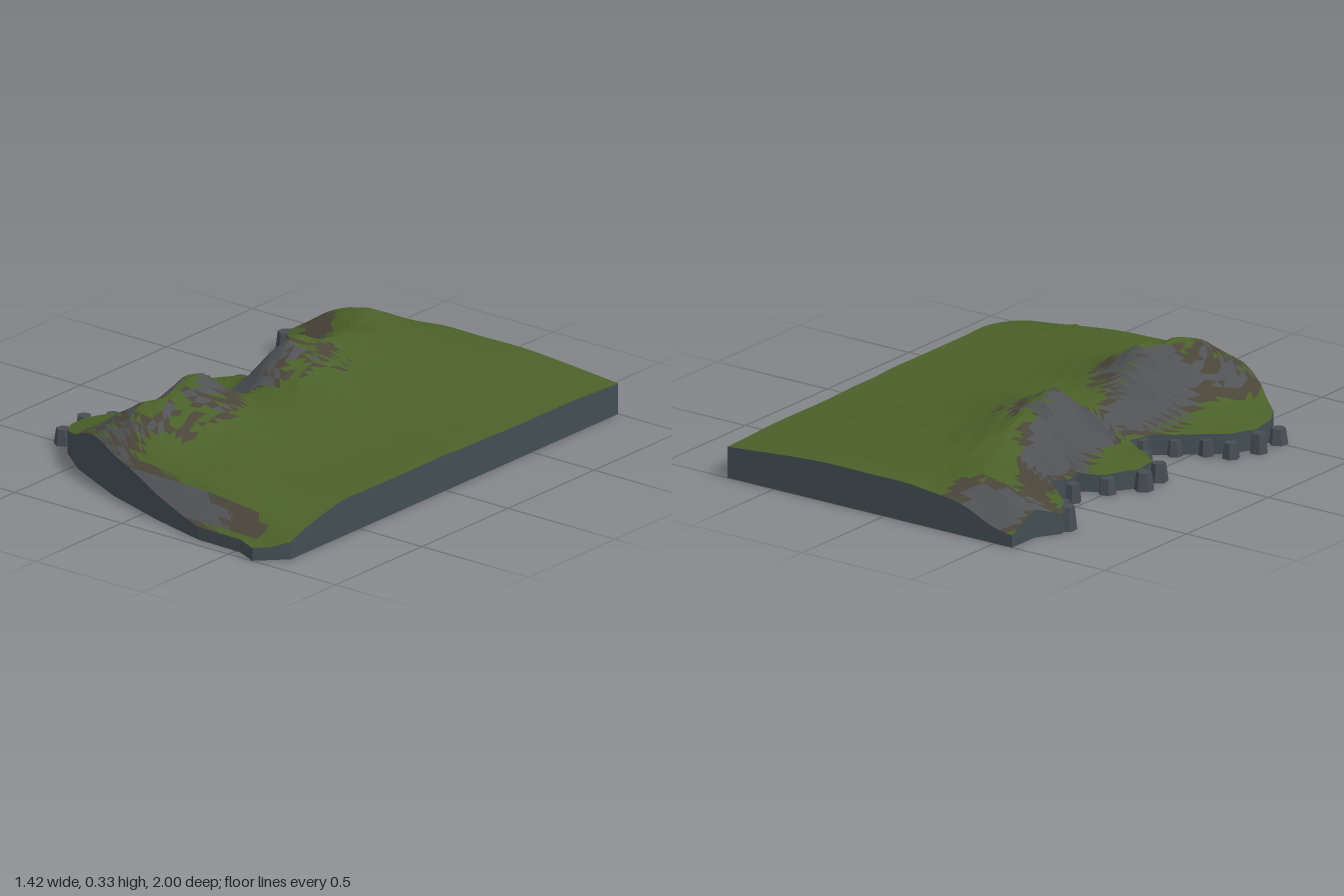
import * as THREE from 'three';

// Coastline as [z, x], from the back to the front tip
const COAST = [
  [-1, -0.58], [-0.86, -0.58], [-0.77, -0.635], [-0.72, -0.62], [-0.63, -0.52], [-0.56, -0.43], [-0.47, -0.42],
  [-0.36, -0.4], [-0.31, -0.49], [-0.2, -0.56], [-0.1, -0.55], [-0.02, -0.45], [0.03, -0.35], [0.12, -0.38],
  [0.2, -0.48], [0.3, -0.6], [0.4, -0.65], [0.5, -0.64], [0.57, -0.6], [0.67, -0.47], [0.8, -0.2],
  [0.89, 0.07], [0.955, 0.32], [0.96, 0.52], [1, 0.61],
];
const INLAND = [[-1, 0.71], [0.9, 0.71], [1, 0.61]];

// Coarse height map: one row per z, one column per x
const XS = [-0.65, -0.5, -0.38, -0.3, -0.2, -0.1, 0.05, 0.3, 0.71];
const ROWS = [
  [-1, [0.04, 0.06, 0.11, 0.13, 0.14, 0.15, 0.15, 0.15, 0.12]],
  [-0.85, [0.06, 0.16, 0.2, 0.205, 0.19, 0.18, 0.17, 0.155, 0.125]],
  [-0.72, [0.07, 0.13, 0.18, 0.2, 0.2, 0.19, 0.175, 0.155, 0.13]],
  [-0.55, [0.05, 0.07, 0.13, 0.2, 0.235, 0.215, 0.18, 0.16, 0.13]],
  [-0.4, [0.04, 0.05, 0.08, 0.18, 0.255, 0.235, 0.19, 0.16, 0.13]],
  [-0.23, [0.06, 0.08, 0.12, 0.22, 0.31, 0.27, 0.21, 0.16, 0.135]],
  [-0.1, [0.06, 0.08, 0.1, 0.16, 0.23, 0.23, 0.2, 0.16, 0.135]],
  [0, [0.05, 0.06, 0.07, 0.1, 0.17, 0.185, 0.185, 0.16, 0.14]],
  [0.12, [0.05, 0.06, 0.08, 0.13, 0.2, 0.2, 0.19, 0.16, 0.14]],
  [0.32, [0.07, 0.1, 0.15, 0.25, 0.335, 0.28, 0.21, 0.16, 0.14]],
  [0.45, [0.08, 0.12, 0.18, 0.235, 0.295, 0.26, 0.2, 0.16, 0.14]],
  [0.6, [0.08, 0.12, 0.2, 0.25, 0.285, 0.24, 0.18, 0.155, 0.14]],
  [0.8, [0.1, 0.12, 0.14, 0.15, 0.16, 0.165, 0.16, 0.15, 0.1]],
  [0.95, [0.05, 0.05, 0.05, 0.05, 0.05, 0.05, 0.05, 0.05, 0.05]],
];
const ZS = ROWS.map((r) => r[0]);

function linear(points, t) {
  for (let i = 1; i < points.length; i++) {
    const [a, va] = points[i - 1], [b, vb] = points[i];
    if (t <= b) return va + (vb - va) * (t - a) / (b - a);
  }
  return points[points.length - 1][1];
}

// Smooth curve through unevenly spaced knots
function smooth(knots, values, t) {
  const n = knots.length - 1;
  t = Math.min(Math.max(t, knots[0]), knots[n]);
  let i = 0;
  while (i < n - 1 && t > knots[i + 1]) i++;
  const slope = (k) => {
    const a = Math.max(k - 1, 0), b = Math.min(k + 1, n);
    return (values[b] - values[a]) / (knots[b] - knots[a]);
  };
  const w = knots[i + 1] - knots[i], u = (t - knots[i]) / w, u2 = u * u, u3 = u2 * u;
  return (2 * u3 - 3 * u2 + 1) * values[i] + (u3 - 2 * u2 + u) * w * slope(i)
    + (3 * u2 - 2 * u3) * values[i + 1] + (u3 - u2) * w * slope(i + 1);
}

function heightAt(x, z) {
  const h = smooth(ZS, ROWS.map((r) => smooth(XS, r[1], x)), z);
  // Small crags, strongest on the high ground
  const crag = Math.sin(x * 47 + z * 13) * Math.sin(z * 39 - x * 17);
  return Math.max(0.03, h + crag * 0.05 * Math.max(0, h - 0.16));
}

function mesh(name, triangles, color) {
  const geometry = new THREE.BufferGeometry().setFromPoints(triangles);
  geometry.computeVertexNormals();
  const m = new THREE.Mesh(geometry, new THREE.MeshStandardMaterial({ color, flatShading: true }));
  m.name = name;
  return m;
}

export function createModel() {
  const group = new THREE.Group();
  group.name = 'coastalTerrain';

  // Grid of surface points stretched between the coast and the inland edge
  const COLS = 44;
  const steps = Array.from({ length: 61 }, (_, i) => -1 + i / 30);
  const zs = [...steps, ...COAST.map((p) => p[0]), 0.9].sort((a, b) => a - b)
    .filter((z, i, all) => i === 0 || z - all[i - 1] > 1e-4);
  const grid = zs.map((z) => {
    const left = linear(COAST, z), right = linear(INLAND, z);
    return Array.from({ length: COLS + 1 }, (_, j) => {
      const x = left + (right - left) * j / COLS;
      return new THREE.Vector3(x, heightAt(x, z), z);
    });
  });

  // Surface faces sorted by steepness into grass, earth and bare rock
  const grass = [], earth = [], rock = [];
  const tri = new THREE.Triangle(), normal = new THREE.Vector3();
  for (let i = 0; i < grid.length - 1; i++) {
    for (let j = 0; j < COLS; j++) {
      const a = grid[i][j], b = grid[i][j + 1], c = grid[i + 1][j], d = grid[i + 1][j + 1];
      for (const face of [[a, c, b], [b, c, d]]) {
        tri.set(...face).getNormal(normal);
        (normal.y < 0.83 ? rock : normal.y < 0.895 ? earth : grass).push(...face);
      }
    }
  }
  group.add(mesh('grass', grass, 0x4a6029), mesh('earthSlopes', earth, 0x4a4539), mesh('rockSlopes', rock, 0x505256));

  // Side walls around the rim, dropping to the ground
  const ground = (p) => new THREE.Vector3(p.x, 0, p.z);
  const rim = [
    ...grid.map((row) => row[0]),
    ...grid.map((row) => row[COLS]).reverse(),
    ...grid[0].slice().reverse(),
  ];
  const walls = [];
  for (let i = 0; i < rim.length - 1; i++) {
    const p = rim[i], q = rim[i + 1];
    if (p.distanceTo(q) < 1e-6) continue;
    walls.push(p, ground(p), ground(q), p, ground(q), q);
  }
  group.add(mesh('cliffWalls', walls, 0x434e53));

  // Flat underside
  const base = [];
  for (let i = 0; i < grid.length - 1; i++) {
    const [a, b, c, d] = [grid[i][0], grid[i][COLS], grid[i + 1][0], grid[i + 1][COLS]].map(ground);
    base.push(a, b, c, b, d, c);
  }
  group.add(mesh('underside', base, 0x434e53));

  // Boulders standing along the shore: x, z, radius, height
  const boulders = [
    [-0.615, -0.715, 0.04, 0.09], [-0.54, -0.63, 0.03, 0.07], [-0.455, -0.46, 0.033, 0.07],
    [-0.5, -0.31, 0.036, 0.06], [-0.585, -0.2, 0.038, 0.07], [-0.57, -0.09, 0.036, 0.07],
    [-0.45, -0.01, 0.032, 0.06], [-0.37, 0.08, 0.028, 0.07], [-0.45, 0.17, 0.03, 0.06],
    [-0.54, 0.24, 0.03, 0.06], [-0.63, 0.27, 0.034, 0.06], [-0.675, 0.38, 0.036, 0.075], [-0.675, 0.5, 0.037, 0.06],
  ];
  boulders.forEach(([x, z, r, h], i) => {
    const geometry = new THREE.CylinderGeometry(r * 0.75, r, h, 6);
    const boulder = new THREE.Mesh(geometry, new THREE.MeshStandardMaterial({ color: 0x464d53, flatShading: true }));
    boulder.name = `boulder${i + 1}`;
    boulder.position.set(x, h / 2, z);
    boulder.rotation.y = i * 1.3;
    group.add(boulder);
  });
  return group;
}
